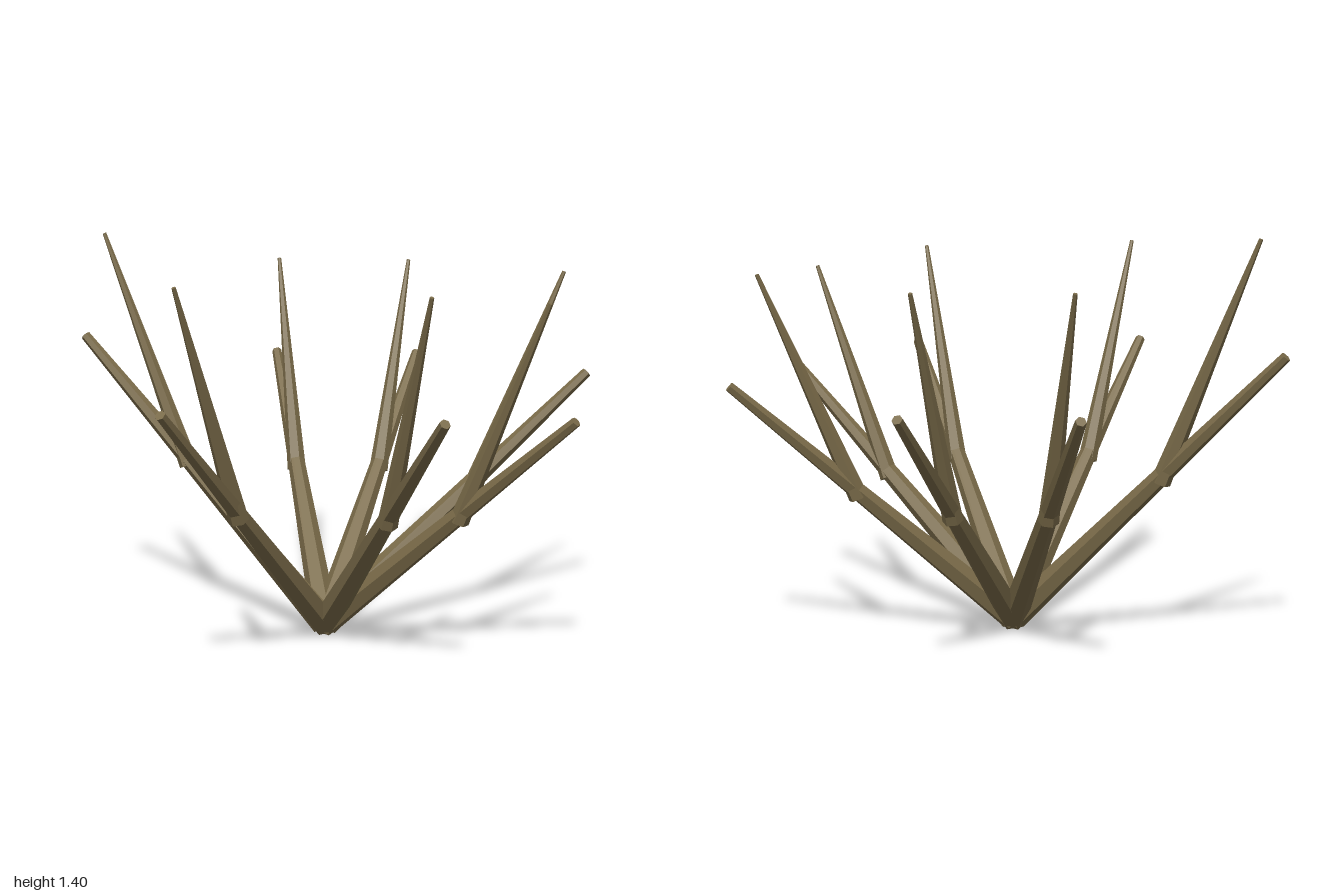
import * as THREE from 'three';

export function createModel() {
  const group = new THREE.Group();
  const bark = new THREE.MeshStandardMaterial({ name: 'dry bark', color: 0x7a6b49, flatShading: true });
  const root = new THREE.Vector3(-0.01, 0.035, -0.015);
  const up = new THREE.Vector3(0, 1, 0);

  // Tapered six-sided stick between two points
  function stick(name, from, to, baseRadius, tipRadius) {
    const dir = to.clone().sub(from);
    const mesh = new THREE.Mesh(new THREE.CylinderGeometry(tipRadius, baseRadius, dir.length(), 6), bark);
    mesh.name = name;
    mesh.position.copy(from).add(to).multiplyScalar(0.5);
    mesh.quaternion.setFromUnitVectors(up, dir.normalize());
    return mesh;
  }

  // Tip of each branch, then tip of its side twig
  const branches = [
    [[0.077, 0.945, 0.97], [0.067, 1.33, 0.885]],
    [[0.825, 0.93, 0.515], [0.745, 1.307, 0.472]],
    [[0.985, 0.875, -0.018], [0.885, 1.25, -0.012]],
    [[0.595, 0.9, -0.805], [0.54, 1.272, -0.72]],
    [[-0.26, 0.88, -0.98], [-0.235, 1.255, -0.88]],
    [[-0.735, 0.88, -0.69], [-0.665, 1.257, -0.618]],
    [[-0.983, 1.015, 0.153], [-0.89, 1.396, 0.14]],
  ];

  branches.forEach(([tip, twigTip], i) => {
    const end = new THREE.Vector3(...tip);
    // The twig forks off just past the middle, poking out underneath
    const fork = root.clone().lerp(end, 0.56);
    fork.y -= 0.02;
    const limb = new THREE.Group();
    limb.name = `limb${i + 1}`;
    limb.add(
      stick('branch', root, end, 0.05, 0.018),
      stick('twig', fork, new THREE.Vector3(...twigTip), 0.035, 0.007)
    );
    group.add(limb);
  });
  return group;
}
